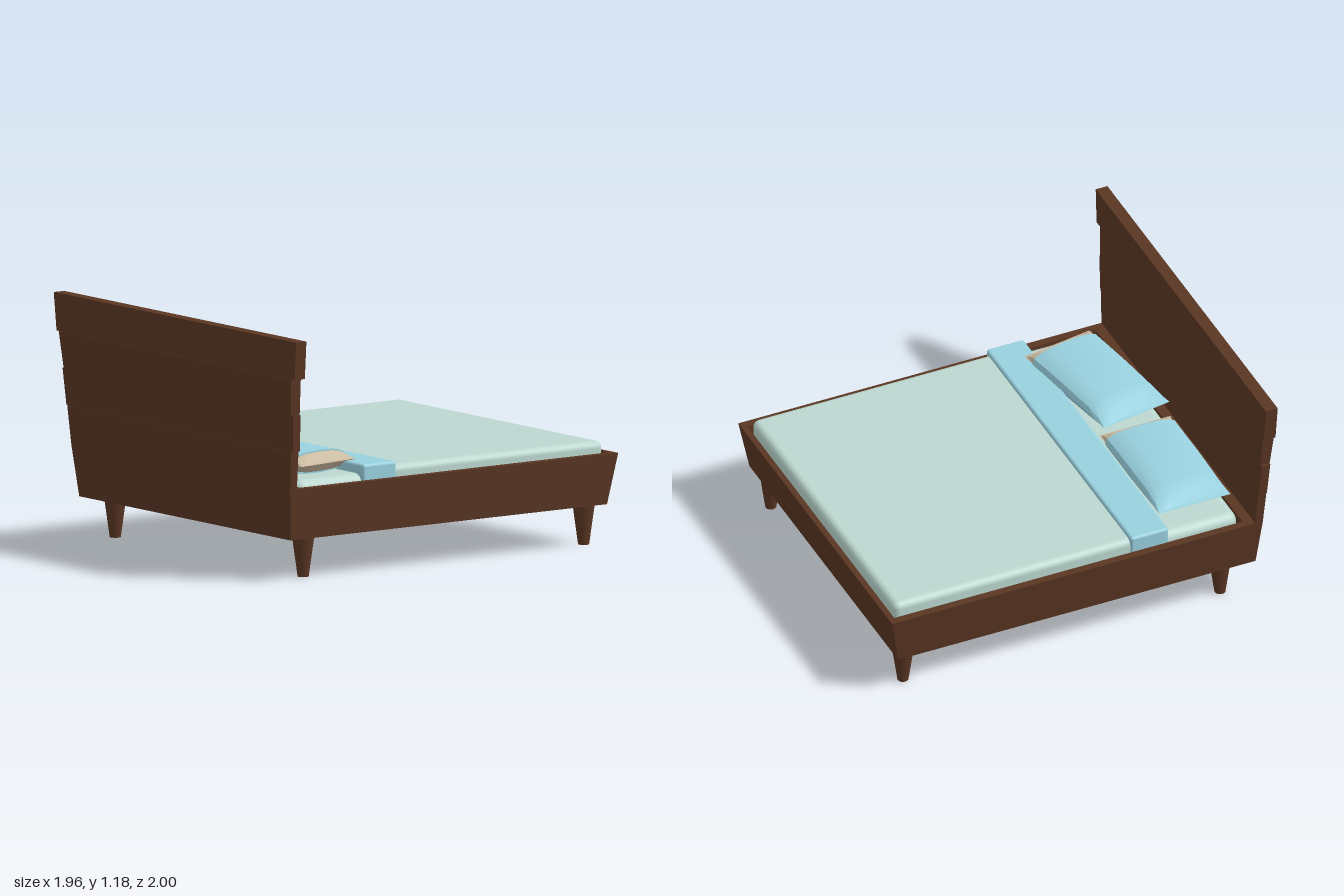
import * as THREE from 'three';
import { toCreasedNormals } from 'three/addons/utils/BufferGeometryUtils.js';
import { RoundedBoxGeometry } from 'three/addons/geometries/RoundedBoxGeometry.js';

const material = (name, color, side = THREE.FrontSide) =>
  Object.assign(new THREE.MeshStandardMaterial({ color, side }), { name });

// Joins cross-section rings (counter-clockwise about the loft direction) and caps both ends
function loft(rings, crease = 0.5) {
  const pos = [];
  const tri = (a, b, c) => pos.push(...a, ...b, ...c);
  const n = rings[0].length;
  for (let i = 0; i < rings.length - 1; i++) {
    for (let j = 0; j < n; j++) {
      const k = (j + 1) % n, lo = rings[i], hi = rings[i + 1];
      tri(lo[j], lo[k], hi[k]);
      tri(lo[j], hi[k], hi[j]);
    }
  }
  const first = rings[0], last = rings[rings.length - 1];
  for (let j = 1; j < n - 1; j++) {
    tri(first[0], first[j + 1], first[j]);
    tri(last[0], last[j], last[j + 1]);
  }
  const geometry = new THREE.BufferGeometry();
  geometry.setAttribute('position', new THREE.Float32BufferAttribute(pos, 3));
  geometry.computeVertexNormals();
  return toCreasedNormals(geometry, crease);
}

// Horizontal rectangle at height y
const rect = (y, w, back, front) =>
  [[-w, y, front], [w, y, front], [w, y, back], [-w, y, back]];

// Pillow cross-section; its corners reach outwards by bow
function pillowRing(x, halfWidth, halfHeight, bow) {
  const ring = [];
  for (let i = 0; i < 16; i++) {
    const a = (i / 16) * Math.PI * 2;
    const c = Math.cos(a), s = Math.sin(a);
    const across = Math.sign(c) * Math.abs(c) ** 0.75;
    const up = Math.sign(s) * Math.abs(s) ** 0.85;
    ring.push([x + bow * across * across, up * halfHeight, -across * halfWidth]);
  }
  return ring;
}

export function createModel() {
  const model = new THREE.Group();
  model.name = 'bed';
  const wood = material('dark wood', 0x5a3623);
  const linen = material('pale green linen', 0xbcd8d0);
  const blue = material('blue cloth', 0x98d0de, THREE.DoubleSide);
  const cream = material('cream pillow', 0xc9b99f);

  const add = (name, geometry, mat, parent = model) => {
    const mesh = new THREE.Mesh(geometry, mat);
    mesh.name = name;
    parent.add(mesh);
    return mesh;
  };

  // Flared tray frame with a closed underside
  add('frame', loft([
    rect(0.2, 0.855, -0.955, 0.94),
    rect(0.45, 0.885, -1, 0.965),
    rect(0.45, 0.845, -0.97, 0.875),
    rect(0.3, 0.845, -0.97, 0.875),
  ], 0.3), wood);

  // Headboard planks: y0, y1, half widths, back and front z at bottom and top
  const planks = [
    [0.45, 0.64, 0.885, 0.905, 0.925, 0.965, 0.93, 0.975],
    [0.64, 0.82, 0.915, 0.932, 0.93, 0.972, 0.937, 0.983],
    [0.82, 1.0, 0.92, 0.94, 0.934, 0.985, 0.942, 1.0],
    [1.0, 1.185, 0.963, 0.98, 0.935, 0.996, 0.938, 1.0],
  ];
  for (const [y0, y1, w0, w1, b0, f0, b1, f1] of planks) {
    add('headboardPlank', loft([rect(y0, w0, b0, f0), rect(y1, w1, b1, f1)], 0.3), wood);
  }

  // Tapered round legs
  for (const x of [-0.76, 0.76]) {
    for (const z of [-0.885, 0.795]) {
      add('leg', new THREE.CylinderGeometry(0.055, 0.027, 0.2, 16), wood).position.set(x, 0.1, z);
    }
  }

  // Bedding: centre and size from its bounds
  const pad = (name, w, y0, y1, z0, z1, radius, mat) =>
    add(name, new RoundedBoxGeometry(w * 2, y1 - y0, z1 - z0, 3, radius), mat)
      .position.set(0, (y0 + y1) / 2, (z0 + z1) / 2);
  pad('mattress', 0.82, 0.3, 0.477, -0.94, 0.87, 0.05, linen);
  pad('duvet', 0.825, 0.3, 0.505, -0.96, 0.45, 0.035, linen);
  pad('duvetFold', 0.837, 0.31, 0.525, 0.29, 0.49, 0.015, blue);

  // Pillows in open-ended cases
  const caseGeometry = loft([
    pillowRing(-0.315, 0.19, 0.002, -0.03),
    pillowRing(-0.27, 0.188, 0.036, -0.015),
    pillowRing(-0.19, 0.186, 0.056, 0),
    pillowRing(0, 0.188, 0.065, 0),
    pillowRing(0.17, 0.188, 0.062, 0),
    pillowRing(0.275, 0.19, 0.055, 0),
  ], 0.6);
  const endGeometry = loft([
    pillowRing(0.26, 0.183, 0.05, 0),
    pillowRing(0.285, 0.183, 0.046, 0.005),
    pillowRing(0.315, 0.188, 0.002, 0.03),
  ], 0.6);
  for (const [x, z, turn] of [[-0.375, 0.68, 0], [0.385, 0.67, 0.16]]) {
    const pillow = new THREE.Group();
    pillow.name = 'pillow';
    add('pillowcase', caseGeometry, blue, pillow);
    add('pillowEnd', endGeometry, cream, pillow);
    pillow.position.set(x, 0.532, z);
    pillow.rotation.y = turn;
    model.add(pillow);
  }
  return model;
}
